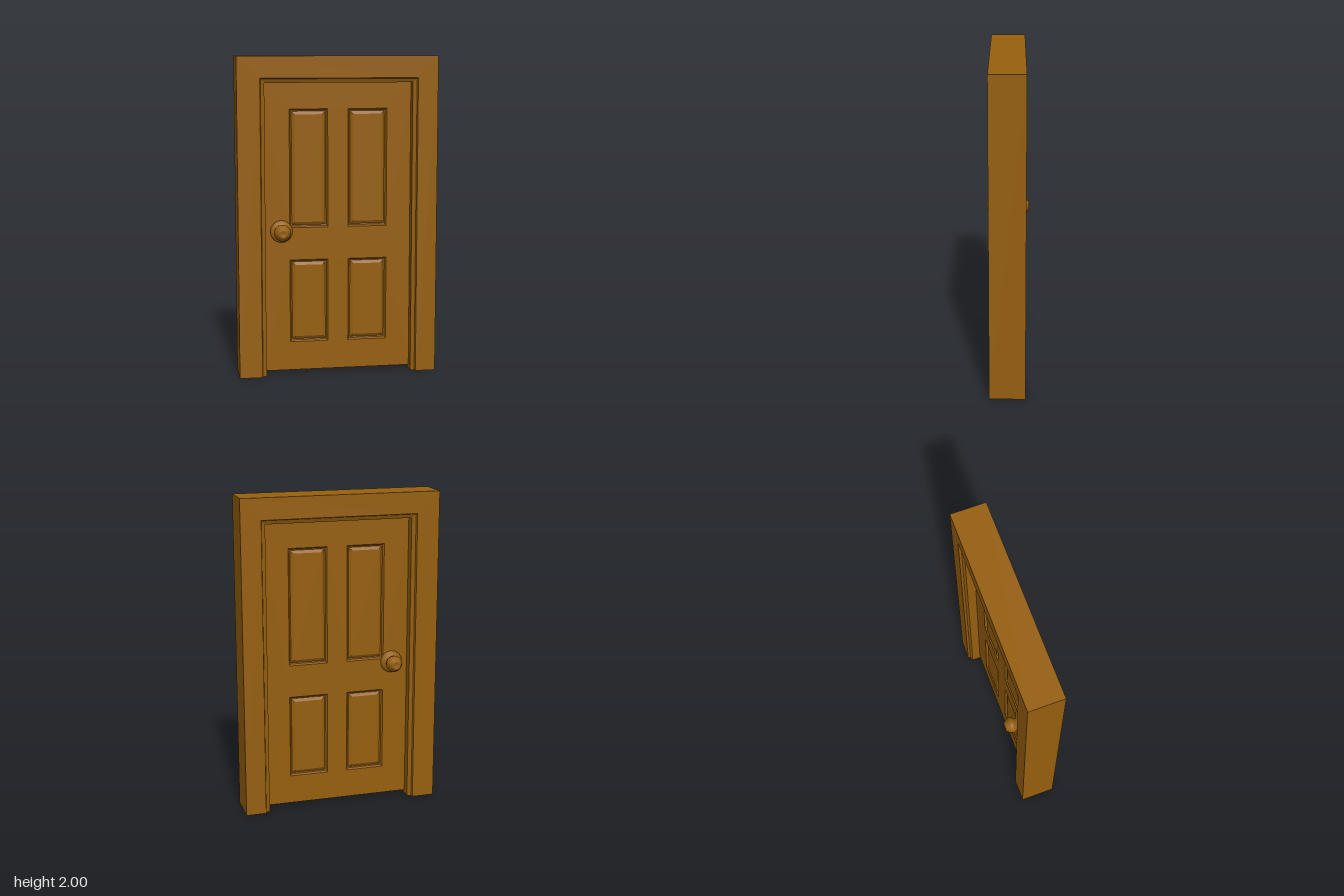
import * as THREE from 'three';

const wood = new THREE.MeshStandardMaterial({ color: 0x965f0e });
wood.name = 'brown wood';

// Flat-faced geometry from quads given as four corners, counter-clockwise
function quadGeometry(quads) {
  const pos = [];
  for (const [a, b, c, d] of quads) pos.push(...a, ...b, ...c, ...a, ...c, ...d);
  const g = new THREE.BufferGeometry();
  g.setAttribute('position', new THREE.Float32BufferAttribute(pos, 3));
  g.computeVertexNormals();
  return g;
}

function part(name, geometry) {
  const m = new THREE.Mesh(geometry, wood);
  m.name = name;
  return m;
}

// Door surround: one moulded profile mitred around three sides
function frameGeometry() {
  const half = [[0, 0.11], [0.134, 0.11], [0.139, 0.095], [0.163, 0.085], [0.163, 0.03]];
  const profile = [...half, ...half.slice().reverse().map(([t, z]) => [t, -z])];
  const n = profile.length;
  const station = (side, top) => profile.map(([t, z]) =>
    [side * (0.625 - t) + (t > 0 ? 0.0075 : 0), top ? 2 - t : 0, z]);
  const s = [station(-1, false), station(-1, true), station(1, true), station(1, false)];
  const quads = [];
  for (let k = 0; k < 3; k++) {
    for (let i = 0; i < n; i++) {
      const j = (i + 1) % n;
      quads.push([s[k][i], s[k][j], s[k + 1][j], s[k + 1][i]]);
    }
  }
  // Feet of the two jambs
  for (let i = 0; i < half.length - 1; i++) {
    const ring = [i, i + 1, n - 2 - i, n - 1 - i];
    quads.push(ring.map(v => s[0][v]).reverse(), ring.map(v => s[3][v]));
  }
  return quadGeometry(quads);
}

// Sunken moulding and raised field, facing +z
function panelGeometry(w, h) {
  const steps = [[0, 0.03], [0.008, 0.017], [0.015, 0.015], [0.034, 0.026]];
  const rects = steps.map(([d, z]) => {
    const x = w / 2 - d, y = h / 2 - d;
    return [[-x, -y, z], [x, -y, z], [x, y, z], [-x, y, z]];
  });
  const quads = [rects[rects.length - 1]];
  for (let r = 0; r < rects.length - 1; r++) {
    for (let k = 0; k < 4; k++) {
      const j = (k + 1) % 4;
      quads.push([rects[r][k], rects[r][j], rects[r + 1][j], rects[r + 1][k]]);
    }
  }
  return quadGeometry(quads);
}

function rectangle(Type, x0, y0, x1, y1) {
  return new Type([[x0, y0], [x1, y0], [x1, y1], [x0, y1]].map(p => new THREE.Vector2(...p)));
}

export function createModel() {
  const model = new THREE.Group();
  model.name = 'panelled door';
  model.add(part('frame', frameGeometry()));

  // Door leaf with four panel openings
  const panels = [];
  for (const [x0, x1] of [[-0.297, -0.056], [0.072, 0.318]])
    for (const [y0, y1] of [[0.203, 0.73], [0.935, 1.675]]) panels.push([x0, y0, x1, y1]);
  const leaf = rectangle(THREE.Shape, -0.465, 0.02, 0.48, 1.845);
  leaf.holes = panels.map(p => rectangle(THREE.Path, ...p));
  const leafGeometry = new THREE.ExtrudeGeometry(leaf, { depth: 0.06, bevelEnabled: false });
  leafGeometry.translate(0, 0, -0.03);
  model.add(part('doorLeaf', leafGeometry));

  // Rose, neck and knob as one turned profile
  const turned = [[0.07, 0.03], [0.07, 0.04], [0.055, 0.05], [0.032, 0.055], [0.032, 0.066],
    [0.05, 0.08], [0.053, 0.098], [0.044, 0.112], [0.036, 0.13], [0.022, 0.14], [0.018, 0.134], [0, 0.134]];
  const knobGeometry = new THREE.LatheGeometry(turned.map(p => new THREE.Vector2(...p)), 16);
  knobGeometry.rotateX(Math.PI / 2);

  // Panels and knob on both faces
  for (const [face, angle] of [['front', 0], ['back', Math.PI]]) {
    for (const [x0, y0, x1, y1] of panels) {
      const panel = part(face + 'Panel', panelGeometry(x1 - x0, y1 - y0));
      panel.position.set((x0 + x1) / 2, (y0 + y1) / 2, 0);
      panel.rotation.y = angle;
      model.add(panel);
    }
    const knob = part(face + 'Knob', knobGeometry);
    knob.position.set(-0.35, 0.913, 0);
    knob.rotation.y = angle;
    model.add(knob);
  }
  return model;
}
